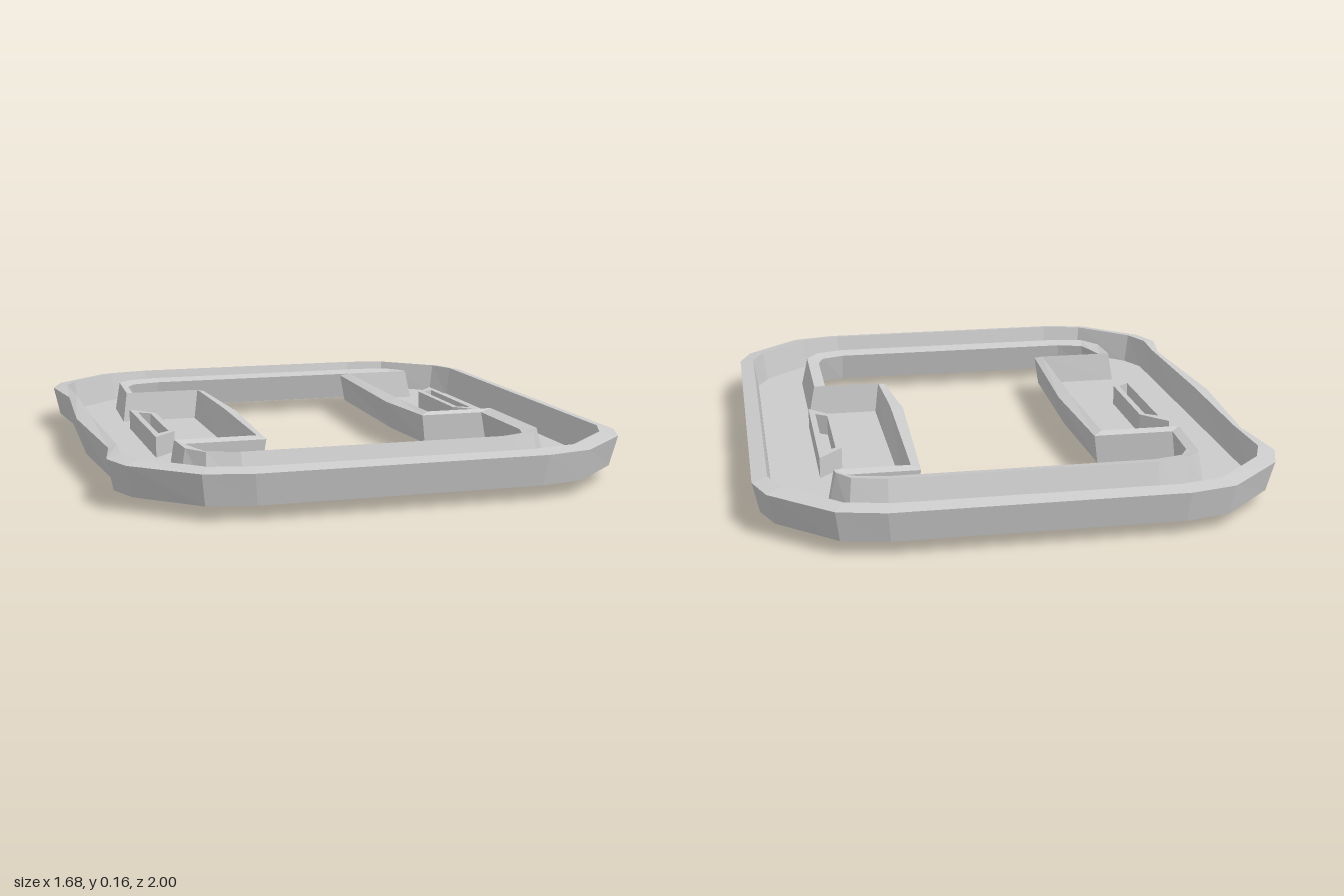
import * as THREE from 'three';

const material = new THREE.MeshStandardMaterial({ color: 0xcccccc, flatShading: true, side: THREE.DoubleSide });
const FLOOR_TOP = 0.05, FLOOR_BOTTOM = 0.035;

// Rounded rectangle from one corner's [x, z] points, with extra points on the left side
function roundedLoop(corner, leftSide) {
  const back = [...corner].reverse();
  return [
    ...corner,
    ...back.map(([x, z]) => [x, -z]),
    ...corner.map(([x, z]) => [-x, -z]),
    ...leftSide,
    ...back.map(([x, z]) => [-x, z]),
  ];
}

const blend = (a, b, t) => a.map(([x, z], i) => [x + (b[i][0] - x) * t, z + (b[i][1] - z) * t]);
const atHeight = (loop, y) => loop.map(([x, z]) => [x, y, z]);

// Closed skin through a ring of equal-length loops
function skin(loops) {
  const n = loops[0].length, m = loops.length, index = [];
  for (let i = 0; i < m; i++) {
    for (let j = 0; j < n; j++) {
      const k = (j + 1) % n, next = (i + 1) % m;
      const a = i * n + j, b = i * n + k, c = next * n + k, d = next * n + j;
      index.push(a, d, c, a, c, b);
    }
  }
  const g = new THREE.BufferGeometry();
  g.setAttribute('position', new THREE.Float32BufferAttribute(loops.flat(2), 3));
  g.setIndex(index);
  const flat = g.toNonIndexed();
  flat.computeVertexNormals();
  return flat;
}

// Wall section: floor edge, ridge, sloping rim, drafted face, underside
function wallLoops(base, edge, ridgeAt) {
  return [
    atHeight(base, FLOOR_TOP - 0.005),
    atHeight(blend(base, edge, ridgeAt), 0.155),
    atHeight(edge, 0.145),
    atHeight(blend(edge, base, 0.33), 0.045),
    atHeight(base, 0.04),
  ];
}

const toVectors = (loop) => loop.map(([x, z]) => new THREE.Vector2(x, z));

// Flat plate with one opening, lying between two heights
function plate(outer, hole, bottom, top) {
  const shape = new THREE.Shape(toVectors(outer));
  shape.holes.push(new THREE.Path(toVectors(hole)));
  const g = new THREE.ExtrudeGeometry(shape, { depth: top - bottom, bevelEnabled: false });
  g.rotateX(Math.PI / 2);
  g.translate(0, top, 0);
  return g;
}

export function createModel() {
  const group = new THREE.Group();
  const add = (name, geometry) => {
    const mesh = new THREE.Mesh(geometry, material);
    mesh.name = name;
    group.add(mesh);
  };

  // Outer wall, pinched twice on its left side
  const outerEdge = roundedLoop(
    [[0.46, 1], [0.61, 0.965], [0.80, 0.79], [0.84, 0.68]],
    [[-0.81, -0.44], [-0.84, 0], [-0.81, 0.52]]);
  const outerBase = roundedLoop(
    [[0.43, 0.93], [0.57, 0.90], [0.735, 0.74], [0.775, 0.65]],
    [[-0.775, -0.44], [-0.775, 0], [-0.775, 0.52]]);
  const outer = wallLoops(outerBase, outerEdge, 0.25);
  // Shallow keel below the middle of the left side
  const keel = outerEdge.findIndex(([x, z]) => x < 0 && z === 0);
  outer[3][keel] = [-0.81, 0.02, 0];
  outer[4][keel] = [-0.775, 0, 0];
  add('outerWall', skin(outer));

  // Inner wall following the opening and the two tabs
  const openingEdge = [
    [-0.43, -0.695], [-0.53, -0.67], [-0.56, -0.62], [-0.57, -0.44],
    [-0.30, -0.44], [-0.28, 0], [-0.305, 0.525], [-0.57, 0.525],
    [-0.55, 0.60], [-0.53, 0.66], [-0.44, 0.69],
    [0.44, 0.69], [0.52, 0.66], [0.54, 0.60], [0.54, 0.275],
    [0.32, 0.275], [0.29, -0.02], [0.315, -0.66], [0.55, -0.66],
    [0.54, -0.665], [0.52, -0.675], [0.43, -0.695],
  ];
  const openingBase = [
    [-0.43, -0.77], [-0.54, -0.745], [-0.60, -0.69], [-0.615, -0.405],
    [-0.345, -0.405], [-0.345, 0], [-0.345, 0.49], [-0.615, 0.49],
    [-0.615, 0.66], [-0.55, 0.74], [-0.44, 0.765],
    [0.44, 0.765], [0.55, 0.735], [0.605, 0.66], [0.605, 0.25],
    [0.36, 0.25], [0.36, -0.02], [0.36, -0.62], [0.605, -0.62],
    [0.605, -0.66], [0.55, -0.74], [0.43, -0.77],
  ];
  add('innerWall', skin(wallLoops(openingBase, openingEdge, 0.35).reverse()));

  // Tray floor
  add('floor', plate(outerBase, openingBase, FLOOR_BOTTOM, FLOOR_TOP));

  // Slotted catch on each tab: tapered block, wide toward the outer wall
  for (const [name, side, z] of [['leftCatch', 1, -0.16], ['rightCatch', -1, 0.005]]) {
    const place = (pts) => pts.map(([x, dz]) => [side * x, z + dz]);
    const block = place([[0.615, -0.265], [0.615, 0.265], [0.535, 0.175], [0.535, -0.175]]);
    const slot = place([[0.595, -0.2], [0.595, 0.2], [0.555, 0.17], [0.555, -0.17]]);
    add(name, plate(block, slot, FLOOR_TOP - 0.005, 0.12));
  }

  return group;
}
